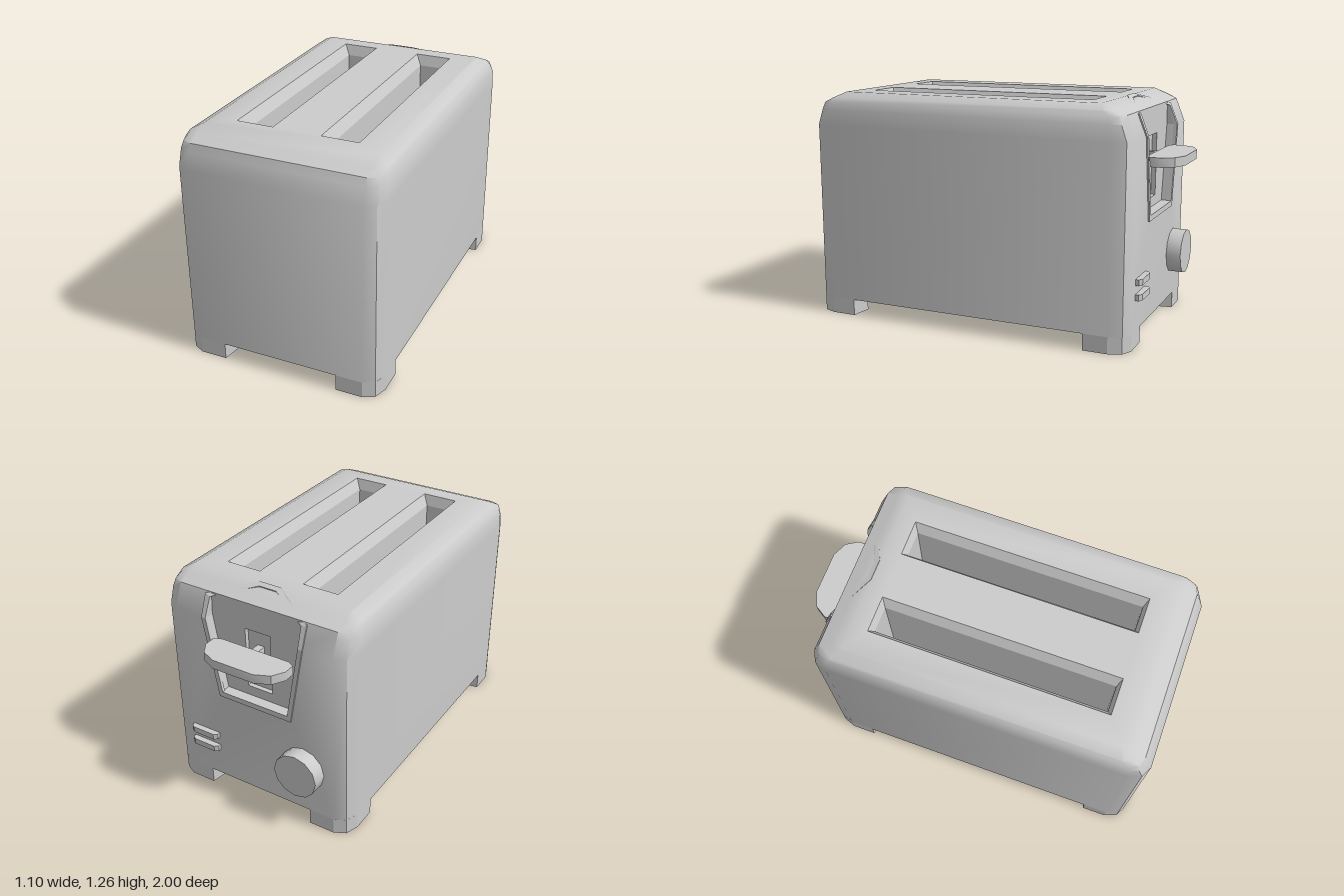
import * as THREE from 'three';
import { mergeGeometries, toCreasedNormals } from 'three/addons/utils/BufferGeometryUtils.js';

const CZ = 0.08, HX = 0.55, HZ = 0.92, BASE = 0.09, TOP = 1.255;
const solid = new THREE.MeshStandardMaterial({ color: 0xcccccc });
const open = new THREE.MeshStandardMaterial({ color: 0xcccccc, side: THREE.DoubleSide });
const V = (x, y, z) => new THREE.Vector3(x, y, z);
const shapeOf = pts => new THREE.Shape(pts.map(p => new THREE.Vector2(p[0], p[1])));
const rectPts = (x0, y0, x1, y1) => [[x0, y0], [x1, y0], [x1, y1], [x0, y1]];

// Depth of the back surface at a given height
const backZ = y => -0.84 + (y <= 1.075 ? 0 : y <= 1.2 ? (y - 1.075) * 0.4 : 0.05 + (y - 1.2) * 0.13 / 0.055);

// Closed rings of points joined by quads
function loft(rings, skip = () => false) {
  const pos = [], n = rings[0].length;
  for (let i = 0; i + 1 < rings.length; i++) {
    for (let j = 0; j < n; j++) {
      if (skip(i, j)) continue;
      const k = (j + 1) % n;
      const [a, b, c, d] = [rings[i][j], rings[i][k], rings[i + 1][k], rings[i + 1][j]];
      for (const p of [a, b, c, a, c, d]) pos.push(p.x, p.y, p.z);
    }
  }
  const g = new THREE.BufferGeometry();
  g.setAttribute('position', new THREE.Float32BufferAttribute(pos, 3));
  return g;
}

// Flat shape reduced to bare triangles
function flat(shape) {
  const g = new THREE.ShapeGeometry(shape).toNonIndexed();
  g.deleteAttribute('uv');
  g.deleteAttribute('normal');
  return g;
}

// Rounded rectangular outline of the housing at one height
function housingRing(y, ix, iz) {
  const hx = HX - ix, hz = HZ - iz;
  const rx = Math.max(0.085 - ix, 0.001), rz = Math.max(0.1 - iz * 0.55, 0.001);
  const corner = [[hx - rx, hz], [hx - rx * 0.3, hz - rz * 0.3], [hx, hz - rz]];
  const ring = [];
  for (const [sx, sz] of [[1, 1], [1, -1], [-1, -1], [-1, 1]]) {
    const c = sx * sz > 0 ? corner : [...corner].reverse();
    for (const [x, z] of c) ring.push(V(sx * x, y, CZ + sz * z));
  }
  return ring;
}

function housing() {
  const rings = [[BASE, 0, 0], [1.075, 0, 0], [1.16, 0, 0.034], [1.2, 0.0154, 0.05],
    [1.225, 0.025, 0.109], [TOP, 0.085, 0.18]].map(r => housingRing(...r));
  const parts = [loft(rings, (i, j) => j === 5 && i < 3)];

  // Back wall around the recess
  const w = 0.465;
  const patches = [
    [[-w, BASE], [w, BASE], [w, 1.075], [0.275, 1.075], [0.205, 0.655], [-0.205, 0.655], [-0.275, 1.075], [-w, 1.075]],
    [[0.275, 1.075], [w, 1.075], [w, 1.2], [0.27, 1.2]],
    [[-w, 1.075], [-0.275, 1.075], [-0.27, 1.2], [-w, 1.2]],
  ];
  for (const pts of patches) {
    const g = flat(shapeOf(pts)).rotateY(Math.PI), p = g.attributes.position;
    for (let i = 0; i < p.count; i++) p.setZ(i, backZ(p.getY(i)));
    parts.push(g);
  }

  // Top plate with two slot openings
  const top = shapeOf(rectPts(-w, -0.82, w, 0.66));
  for (const s of [-1, 1]) {
    top.holes.push(new THREE.Path(shapeOf(rectPts(s * 0.23 - 0.1, -0.725, s * 0.23 + 0.1, 0.57)).getPoints()));
  }
  parts.push(flat(top).rotateX(-Math.PI / 2).translate(0, TOP, 0));

  // Underside
  parts.push(flat(shapeOf(rings[0].map(p => [p.x, p.z]))).rotateX(Math.PI / 2).translate(0, BASE, 0));
  return toCreasedNormals(mergeGeometries(parts), 0.75);
}

// Bread well: bevelled mouth, straight walls, floor
function well(x) {
  const ring = (y, hx, hz) => rectPts(-hx, -hz, hx, hz).map(p => V(x + p[0], y, 0.0775 + p[1]));
  const walls = loft([ring(TOP, 0.1, 0.6475), ring(1.195, 0.07, 0.6275), ring(0.35, 0.07, 0.6275)]);
  const floor = flat(shapeOf(rectPts(-0.07, -0.6275, 0.07, 0.6275))).rotateX(-Math.PI / 2).translate(x, 0.35, 0.0775);
  return toCreasedNormals(mergeGeometries([walls, floor]), 0.2);
}

// L-shaped corner foot
function foot(sx, sz) {
  const pts = [[0.465, 0.92], [0.525, 0.89], [0.55, 0.82], [0.55, 0.685], [0.43, 0.67],
    [0.43, 0.8], [0.3, 0.8], [0.32, 0.92]];
  return new THREE.ExtrudeGeometry(shapeOf(pts.map(([x, z]) => [sx * x, CZ + sz * z])), { depth: BASE, bevelEnabled: false })
    .rotateX(Math.PI / 2).translate(0, BASE, 0);
}

const mirrored = half => [...half, ...half.map(([x, y]) => [-x, y]).reverse()];

// Raised rim that follows the back surface over the top edge
function rim() {
  const outer = mirrored([[0.22, 0.625], [0.3, 1.075], [0.3, 1.19], [0.06, 1.254]]);
  const inner = mirrored([[0.2, 0.655], [0.275, 1.075], [0.27, 1.18], [0.05, 1.243]]);
  const ring = (pts, out) => pts.map(([x, y]) => V(x, y + (y > 1.2 ? out * 0.6 : 0), backZ(y) - (y > 1.2 ? 0 : out)));
  return toCreasedNormals(loft([ring(outer, -0.01), ring(outer, 0.008), ring(inner, 0.008), ring(inner, -0.01)]), 0.3);
}

// Recess behind the lever, with a shallow guide slot in its panel
function recess() {
  const outline = mirrored([[0.205, 0.655], [0.275, 1.075], [0.27, 1.2]]);
  const slot = rectPts(-0.075, 0.71, 0.075, 1.05);
  const at = (pts, z) => pts.map(([x, y]) => V(x, y, z ?? backZ(y)));
  const panel = shapeOf(outline);
  panel.holes.push(new THREE.Path(shapeOf(slot).getPoints()));
  return toCreasedNormals(mergeGeometries([
    loft([at(outline), at(outline, -0.79)]),
    flat(panel).rotateY(Math.PI).translate(0, 0, -0.79),
    loft([at(slot, -0.79), at(slot, -0.765)]),
    flat(shapeOf(slot)).rotateY(Math.PI).translate(0, 0, -0.765),
  ]), 0.2);
}

// Horizontal slab from a plan outline of [x, z] points
function slab(pts, y0, y1) {
  return toCreasedNormals(new THREE.ExtrudeGeometry(shapeOf(pts), { depth: y1 - y0, bevelEnabled: false })
    .rotateX(Math.PI / 2).translate(0, y1, 0), 0.6);
}

export function createModel() {
  const group = new THREE.Group();
  const add = (name, geometry, material = solid) => {
    const mesh = new THREE.Mesh(geometry, material);
    mesh.name = name;
    group.add(mesh);
    return mesh;
  };

  add('housing', housing());
  for (const s of [-1, 1]) {
    const side = s > 0 ? 'left' : 'right';
    add(side + 'BreadSlot', well(s * 0.23), open);
    add(side + 'FrontFoot', foot(s, 1));
    add(side + 'BackFoot', foot(s, -1));
  }

  // Lever assembly on the back
  add('leverRecess', recess(), open);
  add('leverRim', rim(), open);
  add('lever', slab(mirrored([[0.2, -0.82], [0.24, -0.84], [0.24, -0.9], [0.2, -0.965], [0.12, -1]]), 0.915, 0.965));
  add('leverStem', new THREE.BoxGeometry(0.04, 0.04, 0.09)).position.set(0, 0.94, -0.805);

  // Browning knob
  const knob = new THREE.CylinderGeometry(0.125, 0.125, 0.09, 12).rotateX(Math.PI / 2);
  add('knob', toCreasedNormals(knob, 0.6)).position.set(-0.285, 0.355, -0.875);

  // Two push buttons
  for (const y of [0.255, 0.335]) {
    add('button', slab([[0.25, -0.83], [0.25, -0.858], [0.27, -0.872], [0.4, -0.872], [0.42, -0.858], [0.42, -0.83]], y, y + 0.033));
  }
  return group;
}
